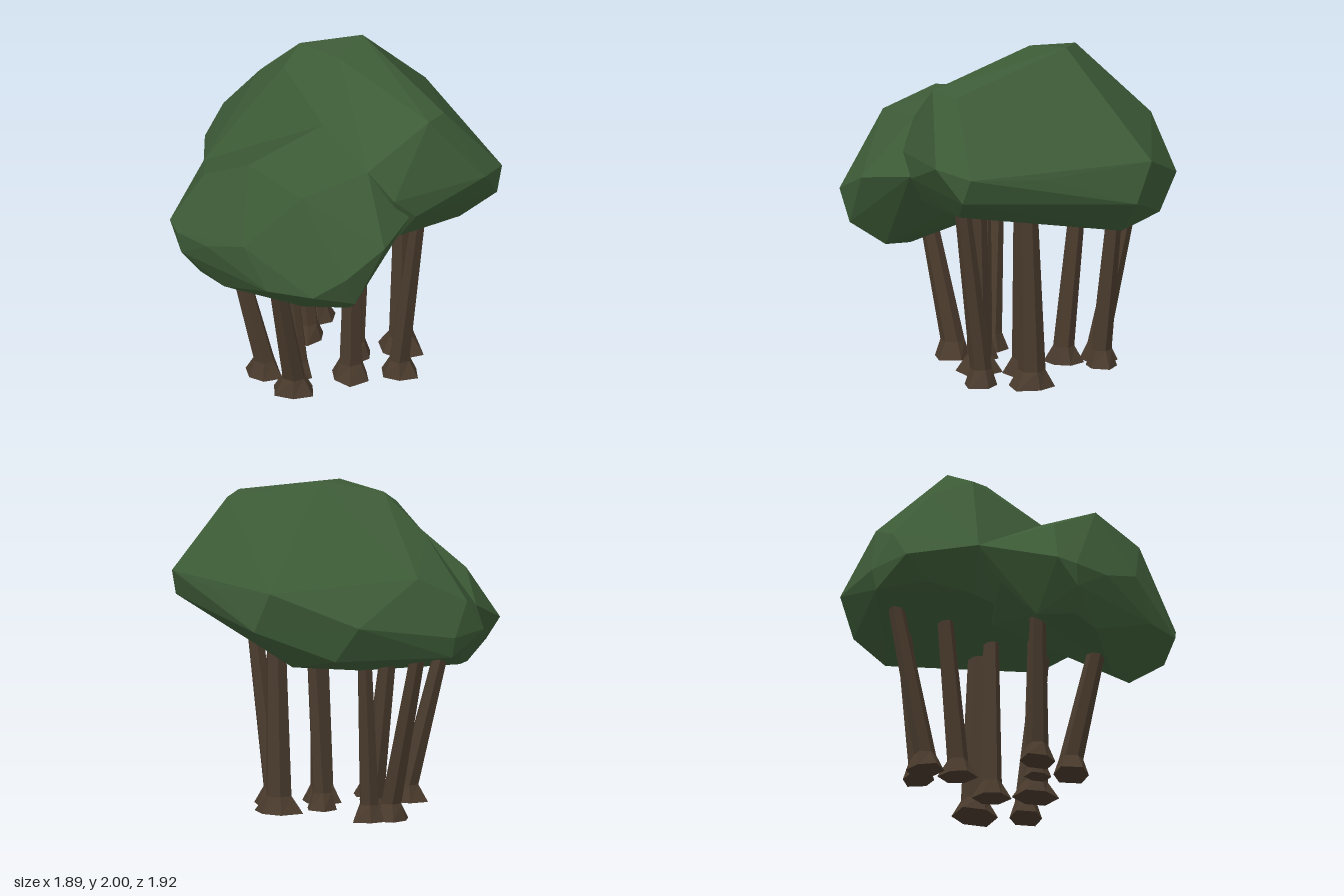
import * as THREE from 'three';
import { ConvexGeometry } from 'three/addons/geometries/ConvexGeometry.js';

const leaf = new THREE.MeshStandardMaterial({ color: 0x3d5b37 });
leaf.name = 'leaf green';
const bark = new THREE.MeshStandardMaterial({ color: 0x4a3b2d });
bark.name = 'bark brown';

// Faceted foliage mass wrapped around a few corner points
function canopy(name, corners) {
  const geo = new ConvexGeometry(corners.map((c) => new THREE.Vector3(...c)));
  const mesh = new THREE.Mesh(geo, leaf);
  mesh.name = name;
  return mesh;
}

// Six-sided leaning trunk with a flared foot
function trunk(index, [x, z], [tx, ty, tz], r) {
  const geo = new THREE.CylinderGeometry(1, 1, 1, 6, 2).toNonIndexed();
  geo.rotateY(Math.PI / 6);
  const pos = geo.attributes.position;
  for (let i = 0; i < pos.count; i++) {
    const level = Math.round((pos.getY(i) + 0.5) * 2);
    const y = [0, 0.1, ty][level];
    const t = level === 2 ? 1 : 0;
    const angle = Math.atan2(pos.getX(i), pos.getZ(i));
    const wobble = level === 0 ? 1 + 0.15 * Math.sin(2 * angle + index) : 1;
    const radius = r * [2.3, 1.35, 0.97][level] * wobble;
    pos.setXYZ(
      i,
      x + (tx - x) * t + pos.getX(i) * radius,
      y,
      z + (tz - z) * t + pos.getZ(i) * radius
    );
  }
  geo.computeVertexNormals();
  const mesh = new THREE.Mesh(geo, bark);
  mesh.name = 'trunk' + (index + 1);
  return mesh;
}

export function createModel() {
  const model = new THREE.Group();
  model.name = 'treeCluster';

  // Tall canopy, its left flank reaching down to the valley
  model.add(canopy('tallCanopy', [
    // crown
    [0.33, 2.0, -0.17], [0.1, 1.97, -0.04], [0.02, 1.93, -0.37], [-0.13, 1.85, -0.29],
    [0.2, 1.92, 0.2], [0.31, 1.83, 0.68], [0.46, 1.81, 0.59], [-0.13, 1.69, -0.58],
    // middle
    [0.1, 1.48, -0.82], [-0.2, 1.33, -0.9], [0.91, 1.42, -0.46], [0.86, 1.37, 0.22],
    [0.62, 1.44, 0.8], [0.81, 1.4, 0.66], [0.04, 1.4, 0.75], [0.18, 1.27, 0.76],
    [0.51, 1.22, -0.8], [0.945, 1.18, -0.35], [-0.33, 1.15, -0.89], [-0.07, 1.13, -0.96],
    // valley
    [-0.07, 1.57, 0.63], [-0.13, 1.69, 0.19], [-0.3, 1.38, -0.05], [-0.36, 1.32, -0.27],
    [-0.54, 1.22, -0.52],
    // underside
    [0.76, 1.25, 0.69], [0.55, 1.11, 0.62], [0.12, 1.11, 0.66], [0.78, 1.07, -0.2],
    [0.68, 0.95, -0.37], [0.35, 0.93, -0.6], [-0.04, 0.94, -0.54], [-0.07, 1.01, -0.93],
    [0.58, 1.01, -0.66], [-0.28, 1.04, -0.72], [-0.35, 1.0, -0.42],
  ]));

  // Low canopy
  model.add(canopy('lowCanopy', [
    // top
    [-0.65, 1.58, 0.23], [-0.51, 1.51, 0.63], [-0.07, 1.57, 0.63], [-0.13, 1.69, 0.19],
    [-0.75, 1.37, -0.13],
    // rim
    [-0.93, 1.07, -0.22], [-0.95, 1.05, -0.1], [-0.89, 1.06, 0.15], [-0.79, 1.16, 0.42],
    [-0.54, 1.22, -0.52], [-0.13, 1.22, 0.94], [-0.4, 1.09, 0.96], [-0.56, 0.96, 0.85],
    [-0.32, 0.9, 0.93], [0.14, 1.27, 0.75], [0.05, 1.35, -0.1],
    // underside
    [-0.93, 0.92, -0.08], [-0.83, 0.79, -0.03], [-0.77, 0.76, 0.15], [-0.72, 0.92, 0.58],
    [-0.43, 0.7, 0.49], [-0.25, 0.76, 0.73], [-0.66, 0.81, -0.19], [-0.54, 1.02, -0.37],
    [0.04, 1.0, 0.45], [-0.05, 1.0, -0.1],
  ]));

  // Trunks: foot [x, z], tip [x, y, z], radius
  const trunks = [
    [[0.29, 0.36], [0.34, 1.17, 0.51], 0.048],
    [[0.44, 0.1], [0.44, 1.17, 0.13], 0.06],
    [[0.02, 0.25], [0.03, 1.15, 0.27], 0.054],
    [[0.03, -0.29], [0.0, 1.1, -0.41], 0.046],
    [[0.06, -0.5], [0.03, 1.06, -0.74], 0.048],
    [[0.19, -0.46], [0.27, 1.05, -0.52], 0.045],
    [[-0.36, 0.25], [-0.53, 0.85, 0.34], 0.053],
    [[-0.41, -0.02], [-0.58, 0.92, -0.13], 0.048],
    [[-0.23, 0.1], [-0.31, 0.95, 0.06], 0.032],
    [[0.17, 0.04], [0.22, 1.14, 0.07], 0.045],
  ];
  trunks.forEach(([foot, tip, r], i) => model.add(trunk(i, foot, tip, r)));

  return model;
}
